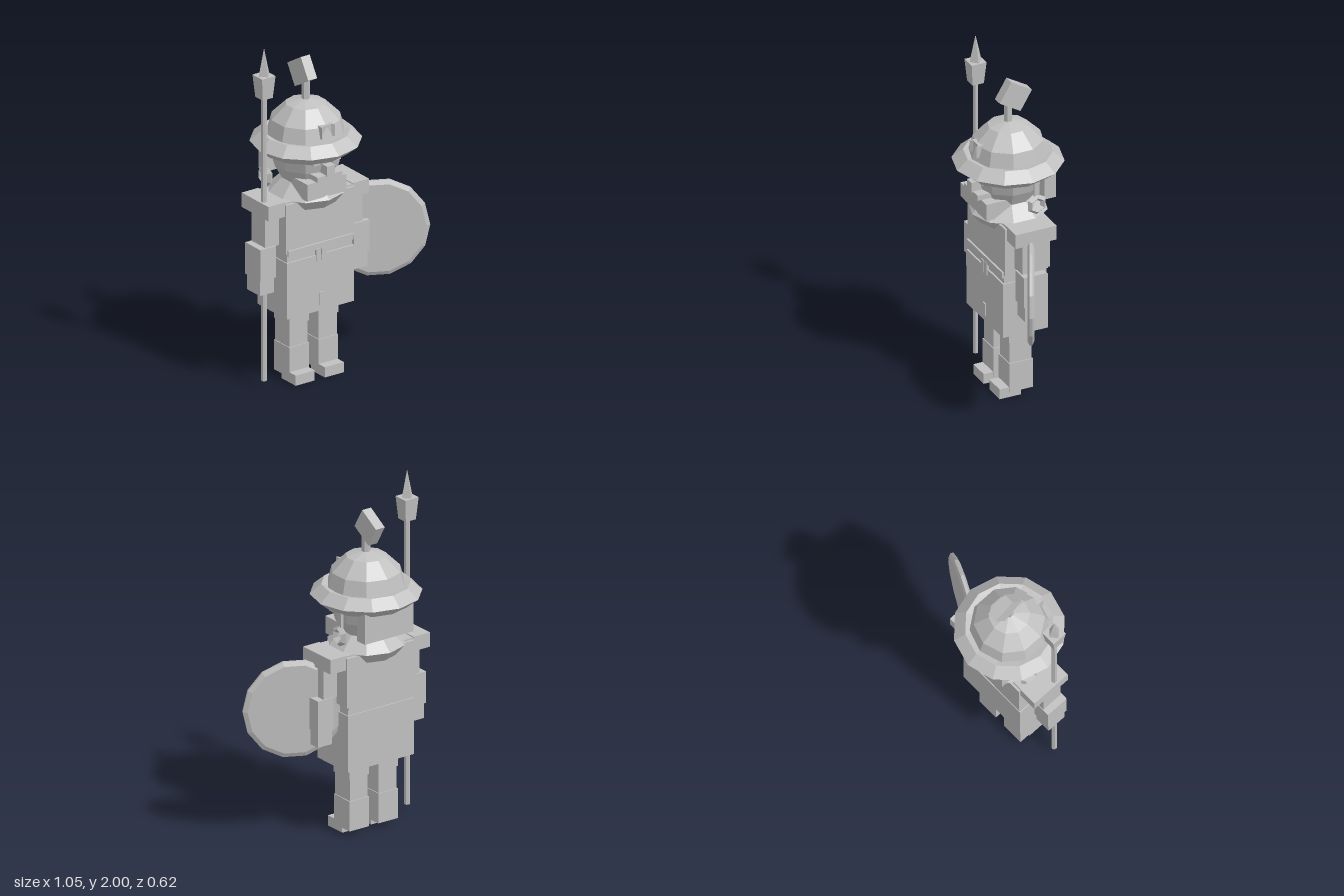
import * as THREE from 'three';

const stone = new THREE.MeshStandardMaterial({ color: 0xc0c0c0 });
stone.name = 'plain grey';
stone.flatShading = true;

const CX = -0.16; // centre line of the figure

export function createModel() {
  const root = new THREE.Group();
  root.name = 'spearGuard';

  const add = (name, geo, x = 0, y = 0, z = 0) => {
    const m = new THREE.Mesh(geo, stone);
    m.name = name;
    m.position.set(x, y, z);
    root.add(m);
    return m;
  };
  // box from its limits, x measured from the centre line
  const box = (name, x0, x1, y0, y1, z0, z1) =>
    add(name, new THREE.BoxGeometry(x1 - x0, y1 - y0, z1 - z0),
      CX + (x0 + x1) / 2, (y0 + y1) / 2, (z0 + z1) / 2);
  const pair = (name, x0, x1, ...rest) => {
    box(name + 'Left', x0, x1, ...rest);
    box(name + 'Right', -x1, -x0, ...rest);
  };
  const lathe = (name, pts, sides, x = CX, y = 0, z = 0) =>
    add(name, new THREE.LatheGeometry(pts.map(p => new THREE.Vector2(p[0], p[1])), sides), x, y, z);

  // legs and boots
  pair('thigh', 0.032, 0.163, 0.335, 0.42, -0.07, 0.075);
  pair('shin', 0.037, 0.158, 0.2, 0.335, -0.065, 0.068);
  pair('boot', 0.032, 0.163, 0.03, 0.205, -0.07, 0.073);
  pair('foot', 0.034, 0.161, 0, 0.06, 0, 0.13);

  // skirt, belt and torso
  box('skirt', -0.226, 0.222, 0.41, 0.74, -0.132, 0.14);
  box('waist', -0.22, 0.215, 0.74, 0.79, -0.125, 0.13);
  box('belt', -0.217, 0.217, 0.775, 0.81, -0.135, 0.143);
  pair('beltTab', 0.004, 0.033, 0.705, 0.78, 0.12, 0.146);
  box('skirtClasp', -0.014, 0.014, 0.445, 0.52, 0.138, 0.146);
  box('torso', -0.226, 0.232, 0.79, 1.08, -0.14, 0.132);
  box('shoulderYoke', -0.23, 0.23, 1.04, 1.09, -0.125, 0.118);

  // arms
  pair('shoulderPad', 0.226, 0.336, 1.01, 1.095, -0.128, 0.12);
  pair('upperArm', 0.232, 0.325, 0.83, 1.02, -0.05, 0.075);
  pair('forearm', 0.26, 0.365, 0.65, 0.835, -0.055, 0.085);
  pair('hand', 0.265, 0.36, 0.56, 0.65, -0.045, 0.075);

  // collar and head
  lathe('collar', [[0, 1.025], [0.17, 1.025], [0.218, 1.085], [0.13, 1.17], [0, 1.17]], 10);
  lathe('head', [[0, 1.1], [0.1, 1.12], [0.135, 1.16], [0.178, 1.24], [0.202, 1.33], [0, 1.36]], 10);
  box('scarf', -0.13, 0.13, 1.1, 1.2, 0, 0.195);
  box('nose', -0.026, 0.026, 1.235, 1.295, 0.15, 0.235);
  box('moustache', -0.083, 0.083, 1.21, 1.24, 0.14, 0.225);
  pair('eye', 0.048, 0.092, 1.3, 1.325, 0.15, 0.2);
  box('neckGuard', -0.165, 0.165, 1.17, 1.35, -0.21, -0.14);

  // ear rings hanging on short straps
  for (const s of [-1, 1]) {
    const ring = add('earRing', new THREE.TorusGeometry(0.043, 0.019, 4, 6), CX + s * 0.224, 1.19, -0.063);
    ring.geometry.rotateZ(Math.PI / 6);
    ring.rotation.y = Math.PI / 2;
  }
  pair('earStrap', 0.212, 0.228, 1.235, 1.36, -0.078, -0.048);

  // helmet dome, brim and plume
  add('helmetDome', new THREE.SphereGeometry(0.225, 10, 3, Math.PI / 10, Math.PI * 2, 0, Math.PI / 2),
    CX, 1.395, 0);
  lathe('helmetBrim', [[0, 1.32], [0.24, 1.32], [0.308, 1.375], [0.245, 1.43], [0.2, 1.42]], 12);
  add('plumeStem', new THREE.CylinderGeometry(0.024, 0.024, 0.16, 6), CX, 1.66, 0);
  add('plumeBlock', new THREE.BoxGeometry(0.06, 0.135, 0.146), CX, 1.765, -0.033).rotation.x = -0.54;

  // notched badge on the helmet front
  const badge = new THREE.Shape([[-0.044, 0], [0.044, 0], [0.044, 0.046], [0.028, 0.03],
    [-0.028, 0.03], [-0.044, 0.046]].map(p => new THREE.Vector2(p[0], p[1])));
  const badgeGeo = new THREE.ExtrudeGeometry(badge, { depth: 0.07, bevelEnabled: false });
  badgeGeo.rotateX(Math.PI / 2);
  add('helmetBadge', badgeGeo, CX, 1.52, 0.165);

  // spear held on the right
  const SX = -0.47, SZ = 0.043;
  add('spearShaft', new THREE.CylinderGeometry(0.016, 0.016, 1.7, 6), SX, 0.89, SZ);
  const socket = new THREE.CylinderGeometry(0.045 * Math.SQRT2, 0.034 * Math.SQRT2, 0.13, 4);
  socket.rotateY(Math.PI / 4);
  add('spearSocket', socket, SX, 1.775, SZ);
  add('spearTip', new THREE.ConeGeometry(0.036, 0.16, 4), SX, 1.92, SZ);

  // bevelled round shield, angled outwards on the left
  const shield = lathe('shield', [[0, -0.019], [0.26, -0.019], [0.285, -0.008], [0.285, 0.008],
    [0.262, 0.019], [0, 0.019]], 14, 0.27, 0.77, 0.075);
  shield.geometry.rotateY(Math.PI / 2);
  shield.geometry.rotateX(Math.PI / 2);
  shield.rotation.y = -0.46;

  return root;
}
